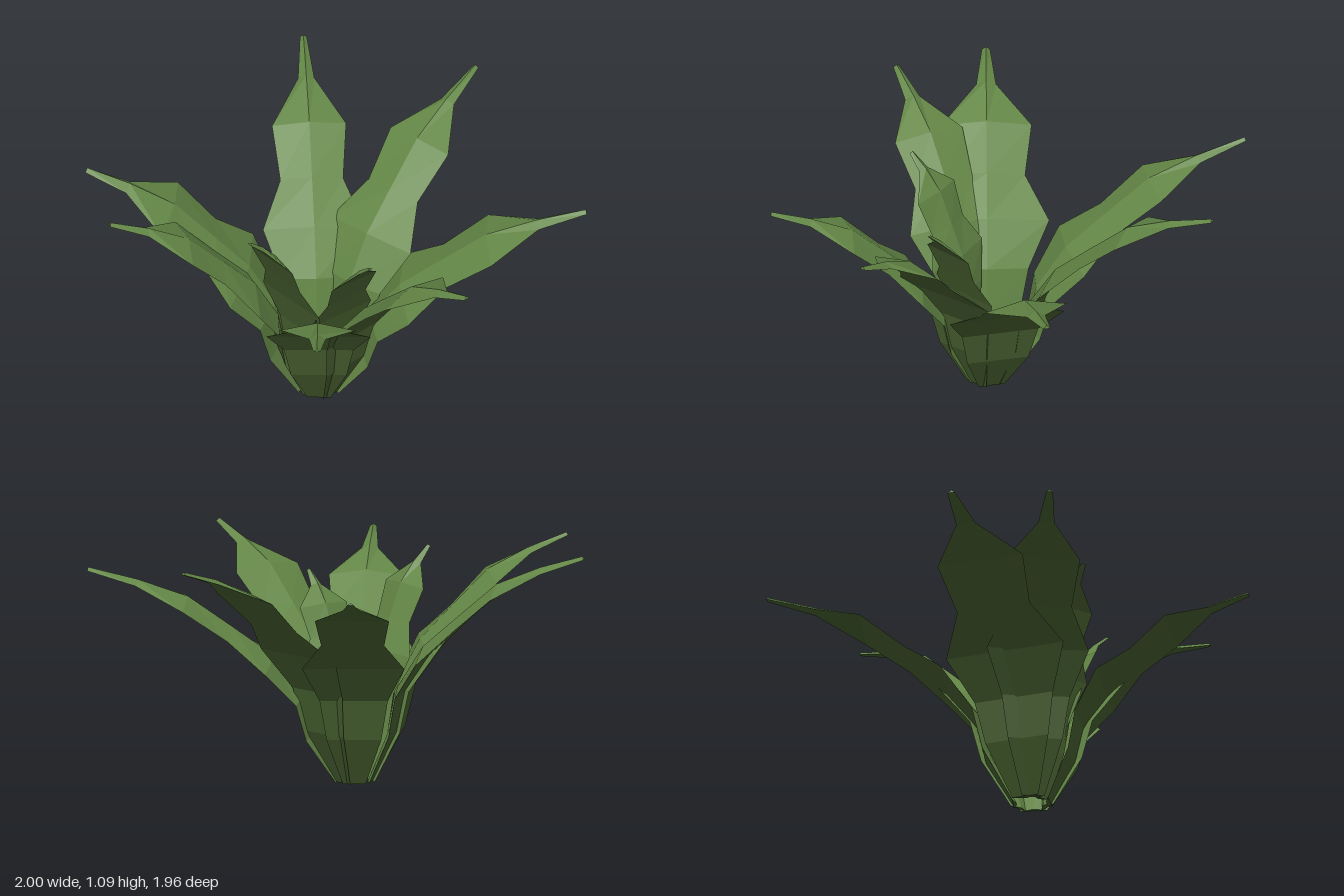
import * as THREE from 'three';

// Leaf stations from root to tip: reach, height (both 0..1), width factor, ridge factor
const STATIONS = [
  [0, 0, 0.31, 0.12],
  [0.115, 0.215, 0.74, 0.18],
  [0.155, 0.39, 0.92, 0.2],
  [0.276, 0.555, 1.38, 0.24],
  [0.43, 0.69, 0.85, 0.2],
  [0.61, 0.835, 1, 0.2],
  [0.805, 0.925, 0.22, 0.13],
  [1, 0.99, 0.09, 0.08],
];
const CENTRE = [-0.08, 0.1];
const ROOT_RADIUS = 0.08;

// Closed three-sided blade: flat underside and a raised midrib on the upper face.
// It grows along local +z and curves outwards as it rises.
// Group 0 is the upper face, group 1 the underside.
function bladeGeometry(reach, height, width, root) {
  const spine = STATIONS.map(([t, h]) => [root + (reach - root) * t, height * h]);
  const pos = [];
  STATIONS.forEach(([, , wf, rf], i) => {
    const a = spine[Math.max(i - 1, 0)];
    const b = spine[Math.min(i + 1, spine.length - 1)];
    const len = Math.hypot(b[0] - a[0], b[1] - a[1]);
    const nz = -(b[1] - a[1]) / len;
    const ny = (b[0] - a[0]) / len;
    const w = width * wf;
    const ridge = width * rf;
    const [z, y] = spine[i];
    pos.push(w, y, z, 0, i ? y + ny * ridge : 0, z + nz * ridge, -w, y, z);
  });
  const last = (STATIONS.length - 1) * 3;
  const upper = [last, last + 1, last + 2];
  const under = [2, 1, 0];
  for (let i = 0; i < last; i += 3) {
    for (let j = 0; j < 3; j++) {
      const a = i + j;
      const b = i + ((j + 1) % 3);
      (j < 2 ? upper : under).push(a, b, b + 3, a, b + 3, a + 3);
    }
  }
  const g = new THREE.BufferGeometry();
  g.setAttribute('position', new THREE.Float32BufferAttribute(pos, 3));
  g.setIndex([...upper, ...under]);
  const flat = g.toNonIndexed();
  flat.computeVertexNormals();
  flat.addGroup(0, upper.length, 0);
  flat.addGroup(upper.length, under.length, 1);
  return flat;
}

function makeMaterial(name, color) {
  const material = new THREE.MeshStandardMaterial({ color, flatShading: true });
  material.name = name;
  return material;
}

export function createModel() {
  const plant = new THREE.Group();
  plant.name = 'rosettePlant';
  const materials = [makeMaterial('leafGreen', 0x638646), makeMaterial('darkLeafGreen', 0x465f2f)];

  // Adds a leaf ending at the tip (x, y, z), with half width at its upper bulge
  function addLeaf(name, [x, y, z], width, root) {
    const dx = x - CENTRE[0];
    const dz = z - CENTRE[1];
    const leaf = new THREE.Mesh(bladeGeometry(Math.hypot(dx, dz), y, width, root), materials);
    leaf.name = name;
    leaf.position.set(CENTRE[0], 0, CENTRE[1]);
    leaf.rotation.y = Math.atan2(dx, dz);
    plant.add(leaf);
  }

  // Spreading outer leaves
  [
    [[0.31, 1.03, -0.98], 0.16],
    [[0.88, 1.09, -0.42], 0.158],
    [[0.995, 0.925, 0.52], 0.183],
    [[0.24, 1.0, 0.97], 0.17],
    [[-0.465, 0.925, 0.97], 0.163],
    [[-1.0, 1.06, -0.05], 0.16],
    [[-0.93, 1.04, -0.47], 0.195],
  ].forEach(([tip, w], i) => addLeaf(`outerLeaf${i + 1}`, tip, w, ROOT_RADIUS));

  // Steeper inner leaves
  [
    [[0.005, 0.87, 0.46], 0.12],
    [[-0.465, 0.99, 0.235], 0.13],
  ].forEach(([tip, w], i) => addLeaf(`innerLeaf${i + 1}`, tip, w, ROOT_RADIUS * 0.85));

  return plant;
}
